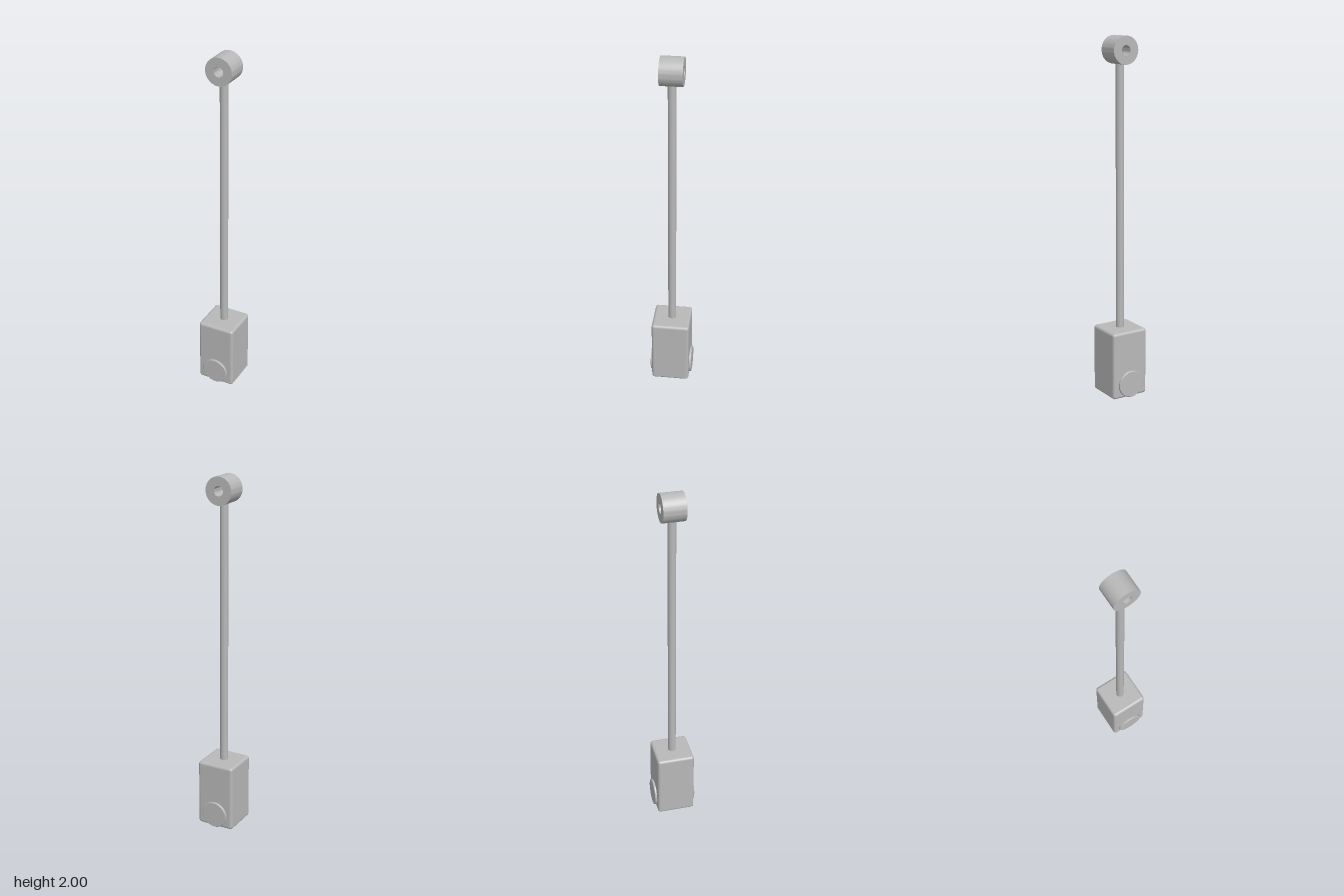
import * as THREE from 'three';
import { toCreasedNormals } from 'three/addons/utils/BufferGeometryUtils.js';
import { RoundedBoxGeometry } from 'three/addons/geometries/RoundedBoxGeometry.js';

const metal = new THREE.MeshStandardMaterial({ color: 0xb8b8b8 });
metal.name = 'grey metal';

// Lathe a profile and lay its axis along z, keeping hard edges crisp
function turnedAlongZ(profile) {
  const points = profile.map(([r, z]) => new THREE.Vector2(r, z));
  const geometry = new THREE.LatheGeometry(points, 64);
  geometry.rotateX(Math.PI / 2);
  return toCreasedNormals(geometry, 0.6);
}

export function createModel() {
  const model = new THREE.Group();
  model.name = 'weightedRod';

  function add(name, geometry, x, y, z) {
    const mesh = new THREE.Mesh(geometry, metal);
    mesh.name = name;
    mesh.position.set(x, y, z);
    model.add(mesh);
    return mesh;
  }

  // Rounded block at the foot
  add('block', new RoundedBoxGeometry(0.218, 0.385, 0.216, 5, 0.016), 0, 0.1925, 0);

  // Round caps on the front and back of the block
  const cap = turnedAlongZ([[0, 0], [0.076, 0], [0.076, 0.017], [0.073, 0.02], [0, 0.02]]);
  add('frontCap', cap, 0, 0.078, 0.1);
  add('backCap', cap, 0, 0.078, -0.1).rotation.y = Math.PI;

  // Slim rod, ending inside the wall of the eye
  const bottom = 0.37, top = 1.875;
  add('rod', new THREE.CylinderGeometry(0.0225, 0.0225, top - bottom, 40), 0, (top + bottom) / 2, 0);

  // Bored eye at the top
  const inner = 0.027, outer = 0.076, half = 0.0615;
  const eye = turnedAlongZ([[inner, -half], [outer, -half], [outer, half], [inner, half], [inner, -half]]);
  add('eye', eye, 0, 2 - outer, 0);

  return model;
}
